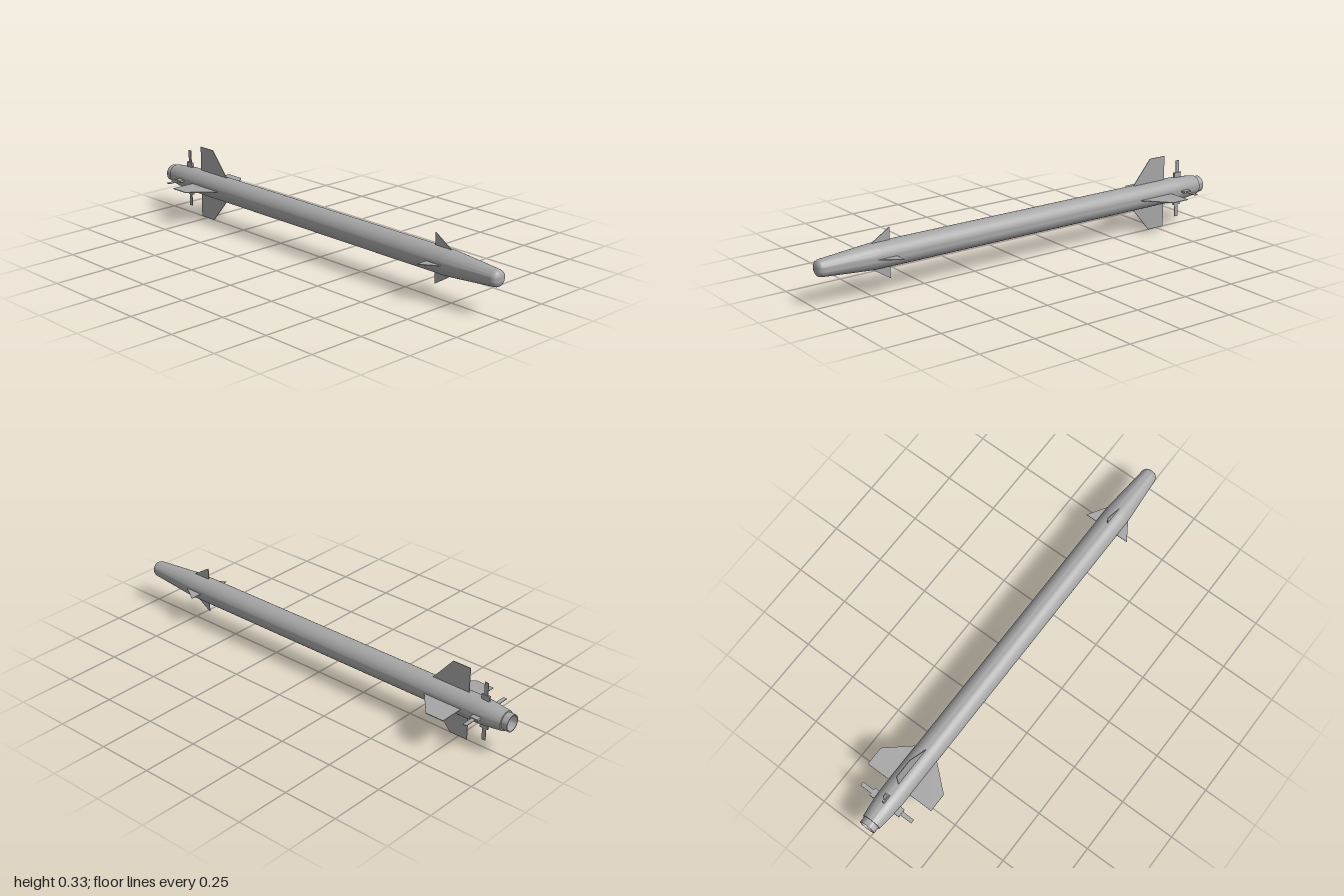
import * as THREE from 'three';
import { toCreasedNormals } from 'three/addons/utils/BufferGeometryUtils.js';

const AXIS_Y = 0.165;

export function createModel() {
  const model = new THREE.Group();
  const grey = new THREE.MeshStandardMaterial({ color: 0xa6a6a6 });
  grey.name = 'matte grey';

  const add = (name, geometry, parent) => {
    const mesh = new THREE.Mesh(geometry, grey);
    mesh.name = name;
    parent.add(mesh);
    return mesh;
  };

  // Surface of revolution along z, from [radius, z] pairs running rear to front
  const turned = (profile) => {
    const g = new THREE.LatheGeometry(profile.map(([r, z]) => new THREE.Vector2(r, z)), 48);
    return toCreasedNormals(g.rotateX(Math.PI / 2), 0.5);
  };

  // Flat plate in the y-z plane, from [z, radius] outline points
  const plate = (outline, thickness) => {
    const shape = new THREE.Shape(outline.map(([z, r]) => new THREE.Vector2(z, r)));
    const g = new THREE.ExtrudeGeometry(shape, { depth: thickness, bevelEnabled: false });
    return g.translate(0, 0, -thickness / 2).rotateY(-Math.PI / 2);
  };

  const airframe = new THREE.Group();
  airframe.name = 'airframe';
  airframe.position.y = AXIS_Y;
  model.add(airframe);

  // Main tube with tapered tail and nose
  add('body', turned([
    [0.036, -0.972], [0.043, -0.972], [0.048, -0.93], [0.0525, -0.89], [0.055, -0.84],
    [0.055, 0.73], [0.0535, 0.76], [0.036, 0.975],
  ]), airframe);

  // Rounded nose cap
  add('noseCap', turned([
    [0.036, 0.975], [0.0345, 0.983], [0.031, 0.99], [0.024, 0.995], [0.013, 0.999], [0, 1],
  ]), airframe);

  // Hollow exhaust nozzle
  add('nozzle', turned([
    [0, -0.9], [0.016, -0.9], [0.033, -1], [0.037, -1], [0.037, -0.965],
  ]), airframe);

  // Four-way fins and vanes
  const finShape = plate([[-0.61, 0.05], [-0.61, 0.055], [-0.705, 0.165], [-0.79, 0.165], [-0.79, 0.05]], 0.003);
  const canardShape = plate([[0.755, 0.045], [0.745, 0.055], [0.66, 0.108], [0.66, 0.045]], 0.003);
  const hubShape = new THREE.BoxGeometry(0.009, 0.03, 0.038).translate(0, 0.061, -0.87);
  const vaneShape = new THREE.BoxGeometry(0.003, 0.06, 0.018).translate(0, 0.102, -0.87);

  for (let i = 0; i < 4; i++) {
    const quarter = new THREE.Group();
    quarter.name = 'finSet' + (i + 1);
    quarter.rotation.z = i * Math.PI / 2;
    add('rearFin', finShape, quarter);
    add('frontFin', canardShape, quarter);
    add('vaneHub', hubShape, quarter);
    add('vane', vaneShape, quarter);
    airframe.add(quarter);
  }
  return model;
}
